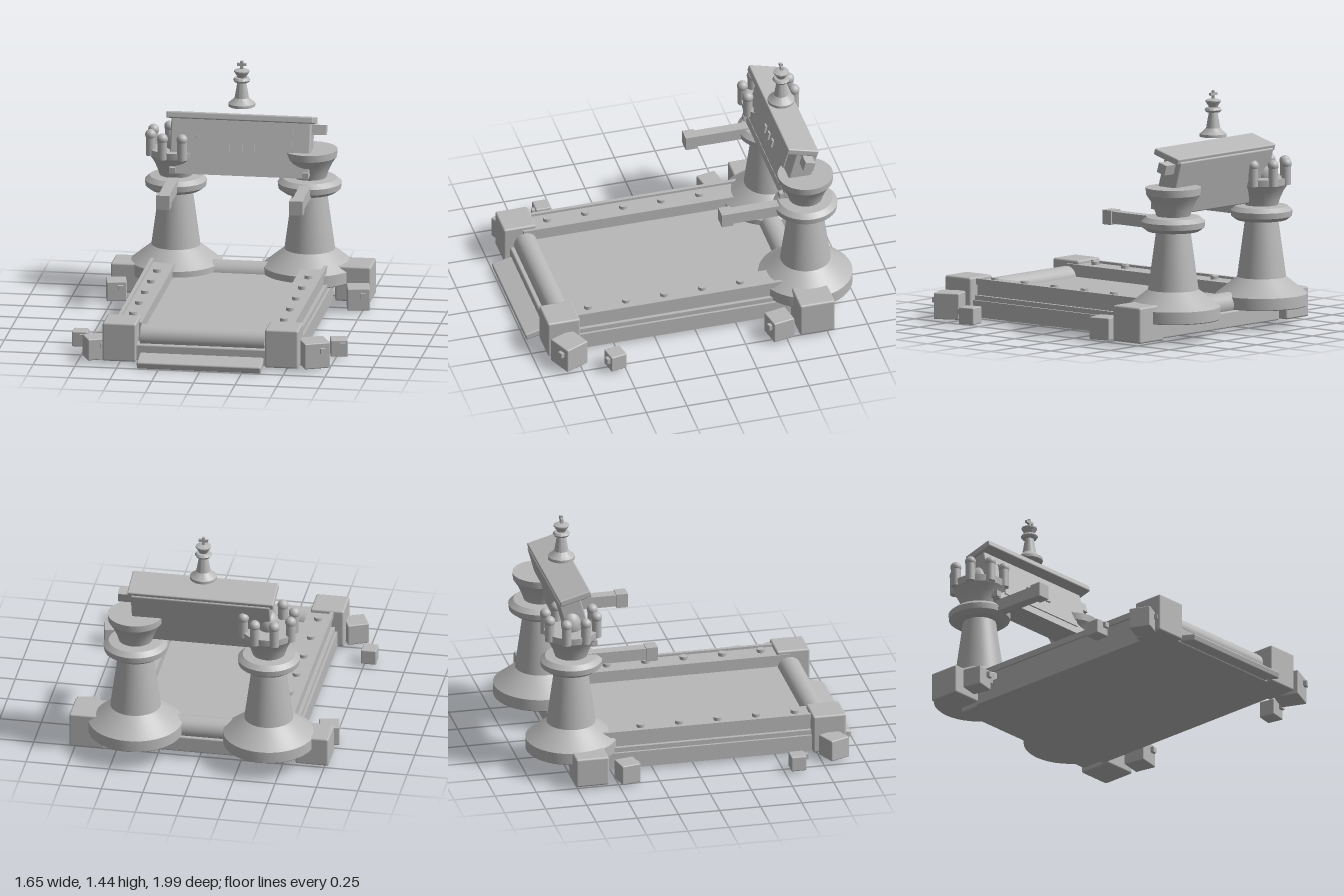
import * as THREE from 'three';
import { toCreasedNormals } from 'three/addons/utils/BufferGeometryUtils.js';
import { RoundedBoxGeometry } from 'three/addons/geometries/RoundedBoxGeometry.js';

const grey = new THREE.MeshStandardMaterial({ color: 0xb8b8b8 });
grey.name = 'stone grey';

function add(parent, name, geometry, x = 0, y = 0, z = 0) {
  const mesh = new THREE.Mesh(geometry, grey);
  mesh.name = name;
  mesh.position.set(x, y, z);
  parent.add(mesh);
  return mesh;
}

const box = (w, h, d) => new THREE.BoxGeometry(w, h, d);
const rounded = (w, h, d, r = 0.012) => new RoundedBoxGeometry(w, h, d, 2, r);

// Turned profile given as [radius, height] pairs, bottom to top
function turned(points) {
  const profile = points.map(([r, y]) => new THREE.Vector2(r, y));
  return toCreasedNormals(new THREE.LatheGeometry(profile, 40), 0.5);
}

function group(parent, name, x, y, z) {
  const g = new THREE.Group();
  g.name = name;
  g.position.set(x, y, z);
  parent.add(g);
  return g;
}

export function createModel() {
  const model = new THREE.Group();
  model.name = 'chessTreadmill';

  // Running bed, built around its own centre line
  const bed = group(model, 'bed', -0.005, 0, 0);
  add(bed, 'bedBase', rounded(1.07, 0.1, 1.62, 0.01), 0, 0.07, 0.07);
  add(bed, 'deck', box(0.76, 0.05, 1.45), 0, 0.135, 0.065);
  for (const z of [0.79, -0.66]) {
    const roller = add(bed, 'roller', new THREE.CylinderGeometry(0.07, 0.07, 0.745, 32), -0.003, 0.15, z);
    roller.rotation.z = Math.PI / 2;
  }
  const step = add(bed, 'frontStep', rounded(0.745, 0.043, 0.13, 0.01), -0.003, 0.037, 0.932);
  step.rotation.x = 0.24;

  // Side rails with bolts
  for (const s of [-1, 1]) {
    add(bed, 'sideSkirt', box(0.03, 0.1, 1.4), s * 0.54, 0.07, 0.1);
    add(bed, 'sideBand', box(0.16, 0.03, 1.42), s * 0.46, 0.133, 0.1);
    add(bed, 'railBody', box(0.135, 0.07, 1.4), s * 0.45, 0.18, 0.1);
    add(bed, 'railCap', box(0.155, 0.022, 1.4), s * 0.453, 0.222, 0.1);
    add(bed, 'railLip', box(0.022, 0.036, 1.4), s * 0.52, 0.229, 0.1);
    for (let i = 0; i < 5; i++) {
      add(bed, 'railBolt', new THREE.CylinderGeometry(0.024, 0.024, 0.03, 20), s * 0.453, 0.238, -0.3 + i * 0.234);
    }
  }

  // Corner posts: x, z, height, side
  const posts = [
    [-0.497, 0.818, 0.235, 0.2], [0.477, 0.818, 0.235, 0.2],
    [-0.678, -0.663, 0.18, 0.2], [0.672, -0.685, 0.215, 0.215]
  ];
  for (const [x, z, h, side] of posts) {
    add(model, 'cornerPost', rounded(side, h, side), x, 0.02 + h / 2, z);
  }

  // Loose feet, each with a small knob: x, z, size, turn
  const feet = [
    [-0.725, -0.44, 0.12, 0.2], [-0.78, 0.58, 0.092, 0], [-0.65, 0.832, 0.13, 0.42],
    [0.722, -0.465, 0.135, 0.2], [0.765, 0.555, 0.102, 0.2], [0.655, 0.808, 0.157, 0.42]
  ];
  for (const [x, z, size, turn] of feet) {
    const foot = group(model, 'cubeFoot', x, 0.017 + size / 2, z);
    add(foot, 'footBlock', rounded(size, size, size, 0.007));
    add(foot, 'footKnob', box(0.032, 0.032, 0.04), size * 0.2, size * 0.2, size / 2);
    foot.rotation.y = turn;
  }

  // Two turned towers
  const towerGeometry = turned([
    [0, 0.125], [0.275, 0.125], [0.28, 0.13], [0.28, 0.2], [0.25, 0.222], [0.2, 0.263],
    [0.15, 0.302], [0.102, 0.652], [0.155, 0.652], [0.186, 0.675], [0.19, 0.71], [0.16, 0.736],
    [0.1, 0.742], [0.112, 0.78], [0.135, 0.83], [0.162, 0.87], [0.165, 0.912], [0, 0.91]
  ]);
  add(model, 'leftTower', towerGeometry, 0.392, 0, -0.717);
  const crowned = group(model, 'rightTower', -0.41, 0, -0.712);
  add(crowned, 'towerBody', towerGeometry).scale.set(0.97, 0.975, 0.97);

  // Crown of pins around a central bud
  for (let i = 0; i < 8; i++) {
    const a = (i + 0.5) * Math.PI / 4;
    const x = 0.154 * Math.cos(a), z = 0.154 * Math.sin(a);
    add(crowned, 'crownPin', new THREE.CylinderGeometry(0.029, 0.029, 0.12, 16), x, 0.91, z);
    add(crowned, 'crownBall', new THREE.SphereGeometry(0.033, 20, 14), x, 0.975, z);
  }
  add(crowned, 'crownBud', new THREE.SphereGeometry(0.06, 24, 16), 0, 0.92, 0).scale.y = 1.35;

  // Hand rails
  for (const x of [-0.408, 0.39]) {
    add(model, 'handRail', box(0.066, 0.072, 0.45), x, 0.691, -0.45);
    add(model, 'handRailEnd', box(0.082, 0.086, 0.07), x, 0.69, -0.228);
  }

  // Console, leaning back
  const con = group(model, 'console', -0.01, 0.92, -0.683);
  con.rotation.x = -0.27;
  add(con, 'consoleBody', rounded(0.84, 0.34, 0.135, 0.01));
  add(con, 'consoleLid', rounded(0.88, 0.04, 0.195, 0.008), 0, 0.17, 0.038);
  add(con, 'consoleLedge', box(0.8, 0.04, 0.11), 0, -0.158, 0.015);
  add(con, 'displayPanel', box(0.63, 0.222, 0.016), 0, -0.012, 0.067);
  for (const x of [-0.078, -0.003, 0.072]) {
    const button = add(con, 'panelButton', box(0.036, 0.044, 0.02), x, -0.014, 0.076);
    button.rotation.z = 0.08;
  }
  add(con, 'sideKnob', box(0.092, 0.06, 0.062), 0.457, 0.115, 0);
  for (const x of [-0.41, 0.39]) add(model, 'ledgeKnob', box(0.036, 0.036, 0.05), x, 0.786, -0.58);

  // Hovering chess king
  const king = group(model, 'king', -0.01, 0, -0.68);
  add(king, 'kingBody', turned([
    [0, 1.17], [0.08, 1.17], [0.08, 1.187], [0.06, 1.202], [0.042, 1.222], [0.026, 1.315],
    [0.042, 1.317], [0.051, 1.33], [0.042, 1.343], [0.026, 1.345], [0.03, 1.355], [0.046, 1.38],
    [0.046, 1.387], [0.03, 1.393], [0, 1.4]
  ]));
  add(king, 'crossUpright', box(0.016, 0.06, 0.016), 0, 1.415, 0);
  add(king, 'crossArm', box(0.056, 0.016, 0.016), 0, 1.424, 0);

  return model;
}
